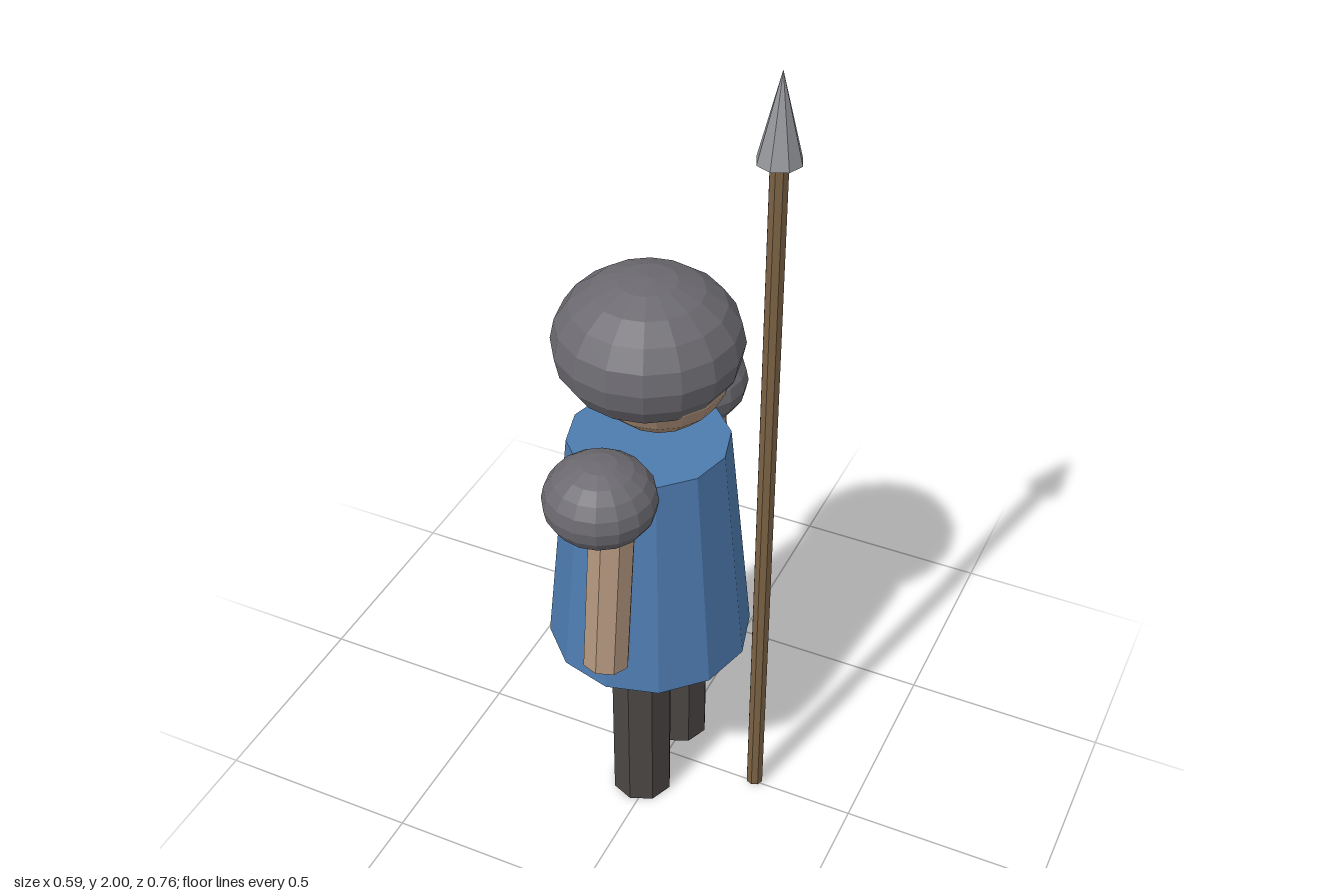
import * as THREE from 'three';

const material = (color) => new THREE.MeshStandardMaterial({ color, flatShading: true });

export function createModel() {
  const model = new THREE.Group();
  model.name = 'spearGuard';

  const steel = material(0x6c6a70);
  const skin = material(0xb0947c);
  const cloth = material(0x4e7cb0);
  const trousers = material(0x4b4644);
  const wood = material(0x7a6244);
  const blade = material(0x94969a);

  const add = (name, geometry, mat, x, y, z) => {
    const mesh = new THREE.Mesh(geometry, mat);
    mesh.name = name;
    mesh.position.set(x, y, z);
    model.add(mesh);
    return mesh;
  };
  // Low-poly ball squashed to a given half height
  const ball = (radius, halfHeight) =>
    new THREE.SphereGeometry(radius, 16, 10).scale(1, halfHeight / radius, 1);

  // Flared tunic
  add('tunic', new THREE.CylinderGeometry(0.19, 0.247, 0.58, 12), cloth, -0.048, 0.73, 0);

  // Head set slightly forward (+x) under a wide helmet
  add('head', ball(0.167, 0.167), skin, -0.02, 1.247, 0);
  add('helmet', ball(0.217, 0.165), steel, -0.048, 1.285, 0);

  // Limbs, one per side
  for (const side of [1, -1]) {
    add('leg', new THREE.CylinderGeometry(0.075, 0.075, 0.5, 8), trousers, -0.02, 0.25, side * 0.11);
    const arm = add('arm', new THREE.CylinderGeometry(0.055, 0.055, 0.43, 8), skin, -0.02, 0.793, side * 0.269);
    arm.rotation.x = -side * 0.12;
    add('shoulderGuard', ball(0.13, 0.101), steel, -0.048, 1.02, side * 0.249);
  }

  // Spear
  add('spearShaft', new THREE.CylinderGeometry(0.021, 0.021, 1.8, 8), wood, 0.244, 0.91, 0);
  add('spearTip', new THREE.ConeGeometry(0.05, 0.2, 8), blade, 0.244, 1.9, 0);

  return model;
}
